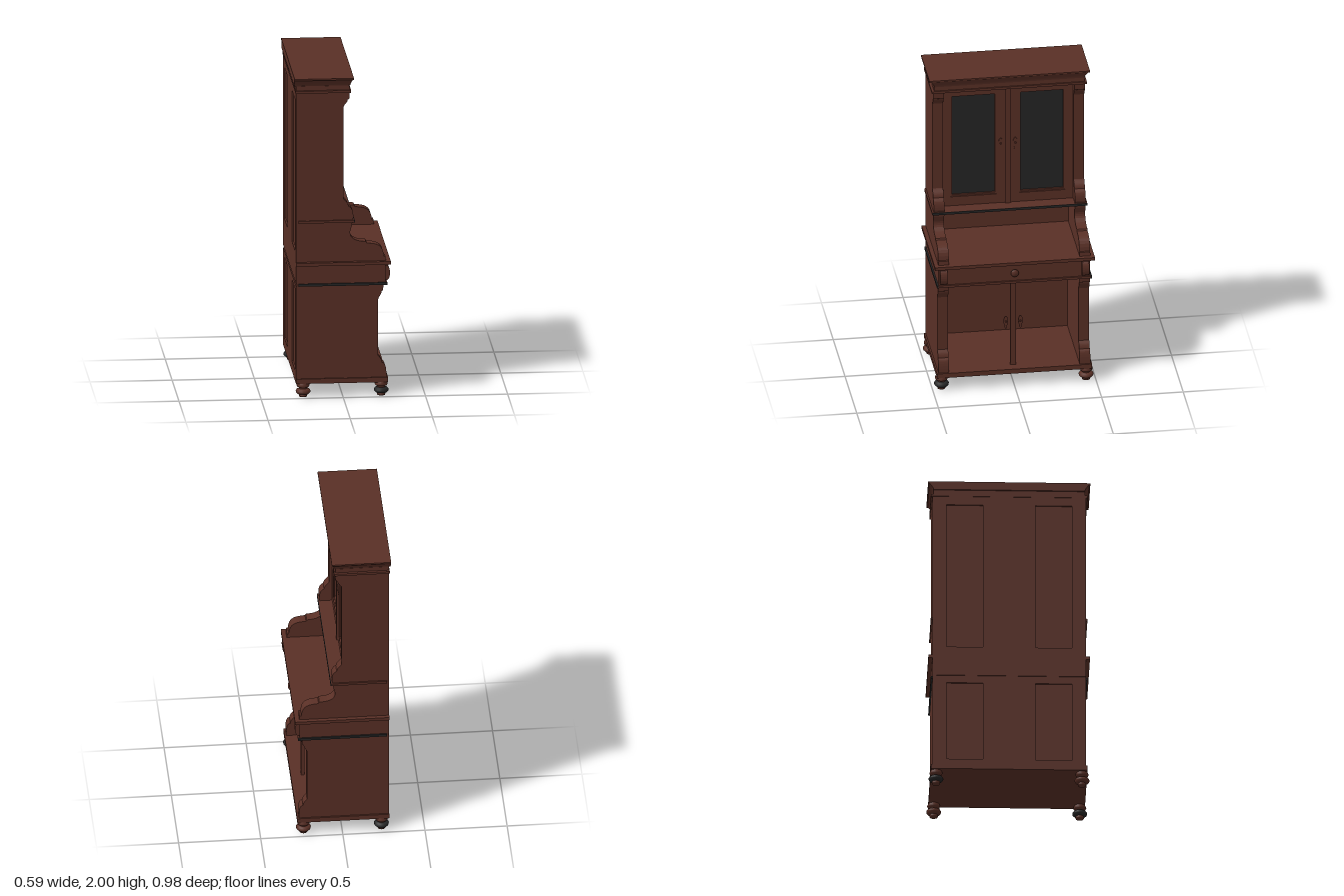
import * as THREE from 'three';

export function createModel() {
  const root = new THREE.Group();
  root.name = 'writingCabinet';
  const wood = new THREE.MeshStandardMaterial({ color: 0x5a3026 });
  wood.name = 'mahogany';
  const black = new THREE.MeshStandardMaterial({ color: 0x262626 });
  black.name = 'charcoal';

  const add = (name, geo, mat = wood, parent = root) => {
    const m = new THREE.Mesh(geo, mat);
    m.name = name;
    parent.add(m);
    return m;
  };
  // box given by its limits on each axis
  const box = (name, x0, x1, y0, y1, z0, z1, mat) => {
    const g = new THREE.BoxGeometry(x1 - x0, y1 - y0, z1 - z0);
    g.translate((x0 + x1) / 2, (y0 + y1) / 2, (z0 + z1) / 2);
    return add(name, g, mat);
  };
  // side outline in x, y extruded along z
  const slab = (name, shape, z0, z1) => {
    const g = new THREE.ExtrudeGeometry(shape, { depth: z1 - z0, bevelEnabled: false, curveSegments: 8 });
    return add(name, g.translate(0, 0, z0));
  };
  const rectPath = (P, x0, x1, y0, y1) => {
    const p = new P();
    p.moveTo(x0, y0); p.lineTo(x1, y0); p.lineTo(x1, y1); p.lineTo(x0, y1); p.closePath();
    return p;
  };
  // picture-frame panel in the z, y plane, its outer face turned to +x
  const frame = (name, z0, z1, y0, y1, holes, x, depth) => {
    const s = rectPath(THREE.Shape, -z1, -z0, y0, y1);
    for (const [a, b, c, d] of holes) s.holes.push(rectPath(THREE.Path, -b, -a, c, d));
    const g = new THREE.ExtrudeGeometry(s, { depth, bevelEnabled: false });
    return add(name, g.rotateY(Math.PI / 2).translate(x, 0, 0));
  };

  // scrolled side outlines
  const lower = new THREE.Shape();
  lower.moveTo(-0.285, 0.115);
  lower.lineTo(0.265, 0.115);
  lower.lineTo(0.265, 0.14);
  lower.bezierCurveTo(0.262, 0.2, 0.25, 0.205, 0.24, 0.205);
  lower.bezierCurveTo(0.235, 0.235, 0.222, 0.24, 0.215, 0.25);
  lower.lineTo(0.215, 0.605);
  lower.bezierCurveTo(0.222, 0.625, 0.235, 0.635, 0.236, 0.655);
  lower.lineTo(0.245, 0.66);
  lower.lineTo(0.247, 0.695);
  lower.lineTo(-0.285, 0.695);

  const upper = new THREE.Shape();
  upper.moveTo(-0.285, 0.845);
  upper.lineTo(0.262, 0.845);
  upper.lineTo(0.26, 0.87);
  upper.lineTo(0.25, 0.872);
  upper.bezierCurveTo(0.245, 0.95, 0.205, 0.953, 0.145, 0.958);
  upper.lineTo(0.14, 0.968);
  upper.bezierCurveTo(0.06, 0.97, 0.04, 1.0, 0.045, 1.035);
  upper.lineTo(0.055, 1.07);
  upper.lineTo(0.06, 1.105);
  upper.lineTo(0.064, 1.12);
  upper.bezierCurveTo(0.065, 1.17, 0.05, 1.185, 0.035, 1.19);
  upper.bezierCurveTo(0.03, 1.22, 0.012, 1.225, 0.004, 1.24);
  upper.lineTo(0.004, 1.815);
  upper.bezierCurveTo(0.012, 1.835, 0.028, 1.84, 0.03, 1.86);
  upper.lineTo(0.04, 1.866);
  upper.lineTo(0.042, 1.905);
  upper.lineTo(-0.285, 1.905);

  const boss = new THREE.Shape();
  boss.moveTo(0.25, 0.72);
  boss.lineTo(0.272, 0.72);
  boss.bezierCurveTo(0.293, 0.735, 0.293, 0.795, 0.272, 0.812);
  boss.lineTo(0.25, 0.812);

  for (const s of [1, -1]) {
    const span = (a, b) => (s > 0 ? [a, b] : [-b, -a]);
    slab('lowerSide', lower, ...span(0.4, 0.465));
    slab('upperSide', upper, ...span(0.4, 0.465));
    slab('drawerBoss', boss, ...span(0.412, 0.456));
    // darkened ends of the lower trim
    const [a, b] = span(0.465, 0.475);
    box('lowerTrimEnd', -0.27, 0.27, 0.695, 0.71, a, b, black);
  }

  // base, desk and carcass boards
  box('baseBoard', -0.285, 0.275, 0.085, 0.115, -0.475, 0.475);
  box('lowerTrim', -0.28, 0.27, 0.695, 0.71, -0.465, 0.465);
  box('drawerCase', -0.285, 0.26, 0.71, 0.825, -0.465, 0.465);
  box('drawerFront', 0.26, 0.266, 0.718, 0.818, -0.395, 0.395);
  box('deskTop', -0.285, 0.29, 0.825, 0.845, -0.49, 0.49);
  box('lowerBack', -0.275, -0.26, 0.115, 0.695, -0.4, 0.4);
  box('upperBack', -0.275, -0.26, 0.845, 1.905, -0.4, 0.4);
  box('nicheBack', -0.26, -0.22, 0.845, 1.09, -0.4, 0.4);
  box('upperTrim', -0.27, 0.068, 1.09, 1.105, -0.475, 0.475);
  box('upperTrimFront', 0.068, 0.072, 1.09, 1.105, -0.475, 0.475, black);
  box('lowerPost', 0.19, 0.212, 0.115, 0.695, -0.018, 0.018);

  // recessed panels on the back
  const backHoles = (y0, y1) => [[0.16, 0.38, y0, y1], [-0.38, -0.16, y0, y1]];
  frame('lowerBackFrame', -0.4, 0.4, 0.115, 0.695, backHoles(0.15, 0.66), -0.285, 0.01);
  frame('upperBackFrame', -0.4, 0.4, 0.845, 1.905, backHoles(0.9, 1.85), -0.285, 0.01);

  // glazed upper doors
  for (const s of [1, -1]) {
    const lim = (a, b) => (s > 0 ? [a, b] : [-b, -a]);
    frame('doorFrame', ...lim(0.018, 0.4), 1.105, 1.905, [[...lim(0.07, 0.35), 1.165, 1.85]], -0.045, 0.03);
    frame('glassMoulding', ...lim(0.07, 0.35), 1.165, 1.85, [[...lim(0.079, 0.341), 1.175, 1.841]], -0.045, 0.022);
    box('glass', -0.042, -0.035, 1.165, 1.85, ...lim(0.07, 0.35), black);
  }
  box('upperPost', -0.045, -0.004, 1.105, 1.905, -0.018, 0.018);

  // key plates with small pulls
  for (const [x, y] of [[-0.013, 1.51], [0.206, 0.41]]) {
    for (const s of [1, -1]) {
      const g = new THREE.Group();
      g.name = 'keyPlate';
      g.position.set(x, y, s * 0.045);
      root.add(g);
      const disc = (name, r, h, px, py, sy) => {
        const c = new THREE.CylinderGeometry(r, r, h, 16).rotateZ(Math.PI / 2).scale(1, sy, 1);
        add(name, c, wood, g).position.set(px, py, 0);
      };
      disc('plate', 0.014, 0.006, 0, 0, 2.4);
      disc('plateTip', 0.007, 0.006, 0, -0.036, 2);
      disc('keyPull', 0.006, 0.012, 0.006, 0, 1);
    }
  }

  // turned drawer knob
  const knobPts = [[0, 0], [0.014, 0], [0.012, 0.008], [0.024, 0.014], [0.024, 0.02], [0.012, 0.026], [0, 0.027]];
  const knob = new THREE.LatheGeometry(knobPts.map(p => new THREE.Vector2(...p)), 20).rotateZ(-Math.PI / 2);
  add('drawerKnob', knob).position.set(0.264, 0.77, 0);

  // cornice
  box('corniceBead', -0.288, 0.05, 1.905, 1.92, -0.475, 0.475);
  box('corniceFrieze', -0.285, 0.042, 1.92, 1.948, -0.46, 0.46);
  const flare = new THREE.BoxGeometry(1, 0.047, 1, 1, 6, 1);
  const p = flare.attributes.position;
  for (let i = 0; i < p.count; i++) {
    const t = (p.getY(i) / 0.047 + 0.5) ** 1.4;
    p.setX(i, p.getX(i) < 0 ? -0.295 : 0.045 + 0.018 * t);
    p.setZ(i, Math.sign(p.getZ(i)) * (0.458 + 0.03 * t));
  }
  flare.translate(0, 1.9705, 0);
  flare.computeVertexNormals();
  add('corniceFlare', flare);
  box('corniceTop', -0.295, 0.066, 1.99, 2, -0.492, 0.492);

  // turned bun feet, two of them with a dark bun
  const lathe = pts => new THREE.LatheGeometry(pts.map(q => new THREE.Vector2(...q)), 20);
  const bun = lathe([[0.02, 0.015], [0.036, 0.018], [0.044, 0.027], [0.045, 0.036], [0.038, 0.046], [0.024, 0.05]]);
  const pad = lathe([[0, 0], [0.024, 0], [0.026, 0.008], [0.022, 0.018]]);
  const neck = lathe([[0.024, 0.048], [0.024, 0.058], [0.036, 0.062], [0.04, 0.072], [0.034, 0.086]]);
  for (const x of [-0.24, 0.235]) {
    for (const z of [-0.443, 0.443]) {
      const foot = new THREE.Group();
      foot.name = 'foot';
      foot.position.set(x, 0, z);
      root.add(foot);
      add('footPad', pad, wood, foot);
      add('footBun', bun, x * z > 0 ? black : wood, foot);
      add('footNeck', neck, wood, foot);
    }
  }
  return root;
}
